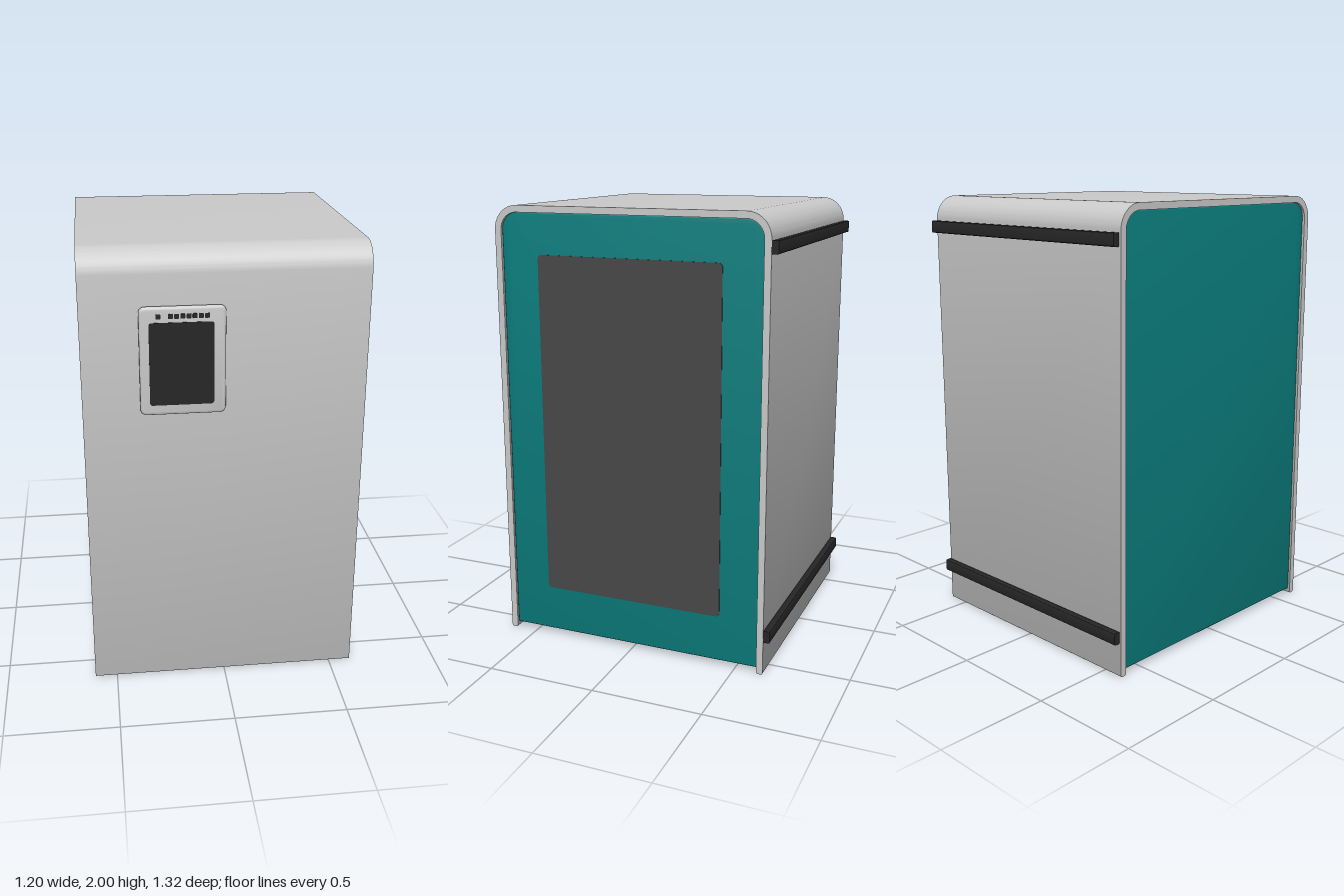
import * as THREE from 'three';
import { toCreasedNormals } from 'three/addons/utils/BufferGeometryUtils.js';

const mat = (color) => new THREE.MeshStandardMaterial({ color });
const HALF_W = 0.6, HALF_D = 0.632, WALL = 0.03;

// Rectangle with its own radius for the top and bottom corners
function roundRect(x0, y0, x1, y1, rTop, rBottom = rTop) {
  const s = new THREE.Shape();
  s.moveTo(x0 + rBottom, y0);
  s.lineTo(x1 - rBottom, y0);
  s.absarc(x1 - rBottom, y0 + rBottom, rBottom, -Math.PI / 2, 0);
  s.lineTo(x1, y1 - rTop);
  s.absarc(x1 - rTop, y1 - rTop, rTop, 0, Math.PI / 2);
  s.lineTo(x0 + rTop, y1);
  s.absarc(x0 + rTop, y1 - rTop, rTop, Math.PI / 2, Math.PI);
  s.lineTo(x0, y0 + rBottom);
  s.absarc(x0 + rBottom, y0 + rBottom, rBottom, Math.PI, Math.PI * 1.5);
  return s;
}

// Extrusion of total depth, with an optional bevel kept inside the outline
function slab(shape, depth, bevel = 0) {
  const geo = new THREE.ExtrudeGeometry(shape, {
    depth: depth - 2 * bevel, curveSegments: 12, bevelEnabled: bevel > 0,
    bevelThickness: bevel, bevelSize: bevel, bevelOffset: -bevel, bevelSegments: 3,
  });
  geo.translate(0, 0, bevel);
  return toCreasedNormals(geo, 0.6);
}

// Turn a (-z, y) profile so that its extrusion runs along x from x0
const alongX = (geo, x0) => geo.rotateY(Math.PI / 2).translate(x0, 0, 0);

// Inverted U section: two walls and a roof with rounded corners and soft feet
function shellShape() {
  const o = HALF_D, i = HALF_D - WALL, R = 0.107, r = R - WALL, f = 0.01;
  const s = new THREE.Shape();
  s.moveTo(o - f, 0);
  s.quadraticCurveTo(o, 0, o, f);
  s.lineTo(o, 2 - R);
  s.absarc(o - R, 2 - R, R, 0, Math.PI / 2);
  s.lineTo(-o + R, 2);
  s.absarc(-o + R, 2 - R, R, Math.PI / 2, Math.PI);
  s.lineTo(-o, f);
  s.quadraticCurveTo(-o, 0, -o + f, 0);
  s.lineTo(-i - f, 0);
  s.quadraticCurveTo(-i, 0, -i, f);
  s.lineTo(-i, 2 - R);
  s.absarc(-i + r, 2 - R, r, Math.PI, Math.PI / 2, true);
  s.lineTo(i - r, 2 - WALL);
  s.absarc(i - r, 2 - R, r, Math.PI / 2, 0, true);
  s.lineTo(i, f);
  s.quadraticCurveTo(i, 0, i + f, 0);
  return s;
}

export function createModel() {
  const model = new THREE.Group();
  const grey = mat(0xcccccc), teal = mat(0x0b7c7c), dark = mat(0x262626), smoke = mat(0x484848);
  const add = (name, geo, material, parent = model) => {
    const mesh = new THREE.Mesh(geo, material);
    mesh.name = name;
    parent.add(mesh);
    return mesh;
  };

  // Cabinet: wrapped cover, inner body and side window
  add('outerShell', alongX(slab(shellShape(), 2 * HALF_W), -HALF_W), grey);
  const inner = HALF_D - WALL;
  add('innerBody', alongX(slab(roundRect(-inner, 0.025, inner, 2 - WALL, 0.077, 0.004), 1.18, 0.004), -0.59), teal);
  add('sideWindow', alongX(slab(roundRect(-0.428, 0.235, 0.425, 1.79, 0.018), 0.02), 0.573), smoke);

  // Control panel on the front
  const panel = new THREE.Group();
  panel.name = 'controlPanel';
  panel.position.z = HALF_D;
  model.add(panel);
  add('panelFrame', slab(roundRect(-0.36, 1.305, -0.003, 1.77, 0.025), 0.027, 0.012), grey, panel);
  add('screen', slab(roundRect(-0.32, 1.35, -0.053, 1.705, 0.012), 0.02).translate(0, 0, 0.009), dark, panel);
  const buttonX = [-0.281];
  for (let i = 0; i < 7; i++) buttonX.push(-0.231 + i * 0.025);
  for (const x of buttonX) {
    const b = add('button', slab(roundRect(-0.01, -0.01, 0.01, 0.01, 0.004), 0.02), dark, panel);
    b.position.set(x, 1.731, 0.01);
  }

  // Two mounting rails across the back
  for (const [name, y] of [['lowerRail', 0.155], ['upperRail', 1.833]]) {
    const profile = roundRect(HALF_D - 0.002, y, 0.662, y + 0.055, 0.007);
    add(name, alongX(slab(profile, 1.19), -0.59), dark);
  }
  return model;
}
